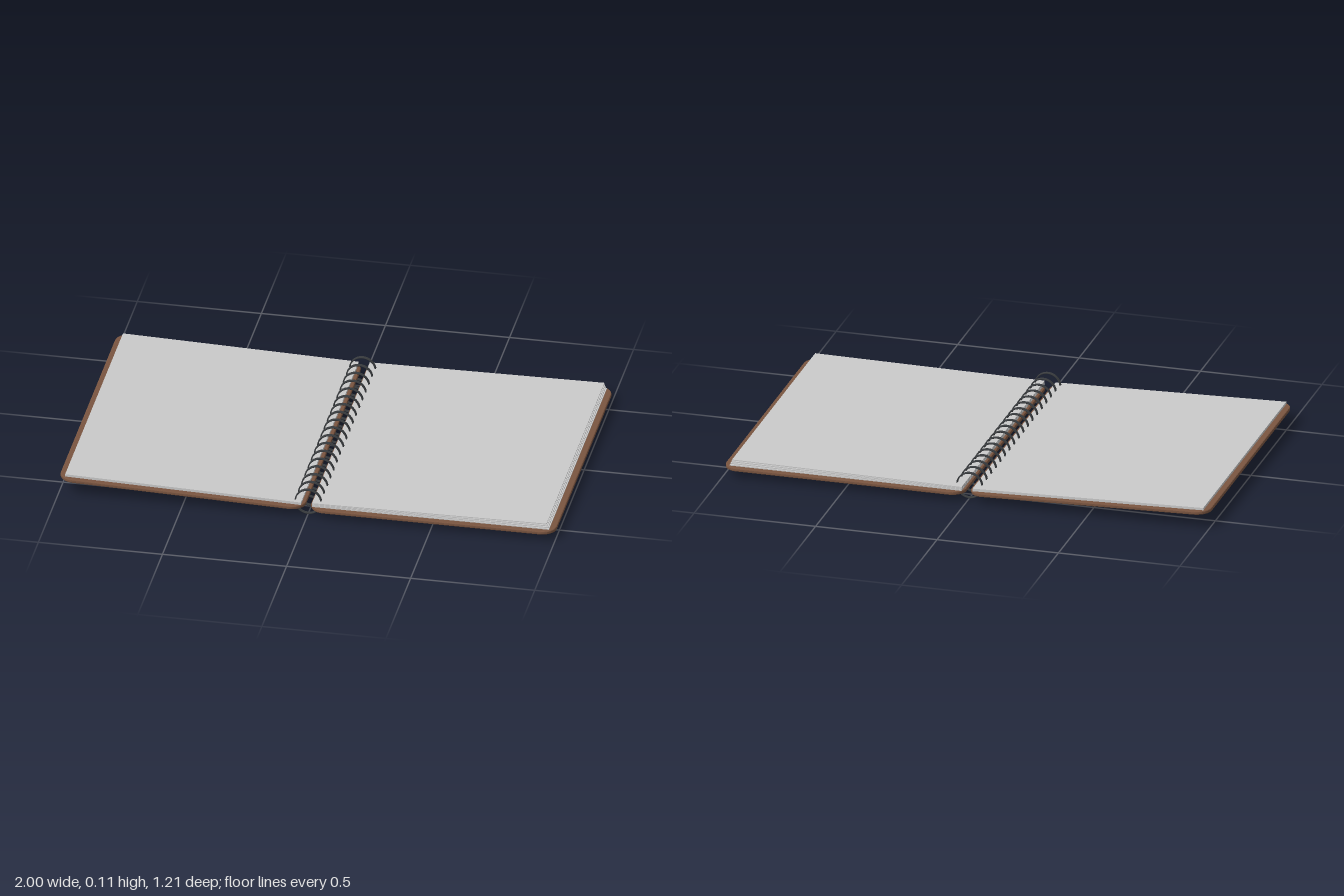
import * as THREE from 'three';

const mat = (name, color, side = THREE.FrontSide) => {
  const m = new THREE.MeshStandardMaterial({ color, side });
  m.name = name;
  return m;
};

// Mount a part lying on the line from (x0,y0) to (x1,y1), centred on its middle.
function place(mesh, name, x0, y0, x1, y1) {
  mesh.name = name;
  mesh.position.set((x0 + x1) / 2, (y0 + y1) / 2, 0);
  mesh.rotation.z = Math.atan2(y1 - y0, x1 - x0);
  return mesh;
}

// Round-cornered board with softened edges, centred, lying flat.
function boardGeometry(width, depth, thick, radius) {
  const b = 0.004, w = width / 2 - b, d = depth / 2 - b, s = new THREE.Shape();
  s.moveTo(-w + radius, -d);
  s.lineTo(w - radius, -d).absarc(w - radius, -d + radius, radius, -Math.PI / 2, 0);
  s.lineTo(w, d - radius).absarc(w - radius, d - radius, radius, 0, Math.PI / 2);
  s.lineTo(-w + radius, d).absarc(-w + radius, d - radius, radius, Math.PI / 2, Math.PI);
  s.lineTo(-w, -d + radius).absarc(-w + radius, -d + radius, radius, Math.PI, Math.PI * 1.5);
  const g = new THREE.ExtrudeGeometry(s, {
    depth: thick - 2 * b, bevelSize: b, bevelThickness: b, bevelSegments: 2, curveSegments: 8,
  });
  g.rotateX(-Math.PI / 2);
  g.center();
  return g;
}

// Twin wire loop: out along one strand, back along the other.
function ringGeometry() {
  const R = 0.052, half = 0.004, end = Math.PI * 1.72, n = 28, pts = [];
  for (const side of [-1, 1]) {
    for (let i = 0; i <= n; i++) {
      const a = end * (side < 0 ? i / n : 1 - i / n);
      pts.push(new THREE.Vector3(R * Math.cos(a), R * Math.sin(a), side * half));
    }
  }
  return new THREE.TubeGeometry(new THREE.CatmullRomCurve3(pts), 90, 0.003, 6, false);
}

export function createModel() {
  const group = new THREE.Group();
  group.name = 'openNotebook';
  const leather = mat('brown cover', 0x7a5540);
  const paper = mat('paper', 0xcacaca);
  const wire = mat('dark wire', 0x3a3d40);

  // Covers: the right one is flat, the left one rises outward
  const cover = boardGeometry(0.99, 1.21, 0.015, 0.055);
  group.add(
    place(new THREE.Mesh(cover, leather), 'rightCover', 0.01, 0.037, 1, 0.037),
    place(new THREE.Mesh(cover, leather), 'leftCover', -1, 0.068, -0.01, 0.041),
  );

  // Sheets, fanning slightly toward the outer edges
  const sheets = 4, thick = 0.004;
  for (let i = 0; i < sheets; i++) {
    const t = i / (sheets - 1);
    const lines = [
      ['rightSheet', 0.02, 0.047 + 0.013 * t, 0.975 - 0.01 * t, 0.047 + 0.023 * t],
      ['leftSheet', -0.975, 0.077 + 0.006 * t, -0.025, 0.05 + 0.008 * t],
    ];
    for (const [name, x0, y0, x1, y1] of lines) {
      const g = new THREE.BoxGeometry(Math.hypot(x1 - x0, y1 - y0), thick, 1.17);
      group.add(place(new THREE.Mesh(g, paper), name, x0, y0, x1, y1));
    }
  }

  // Wire binding along the spine
  const binding = new THREE.Group();
  binding.name = 'binding';
  const ring = ringGeometry();
  for (let i = 0; i < 18; i++) {
    const m = new THREE.Mesh(ring, wire);
    m.name = 'ring';
    m.position.set(0, 0.055, -0.54 + i * 0.0647);
    binding.add(m);
  }
  group.add(binding);
  return group;
}
